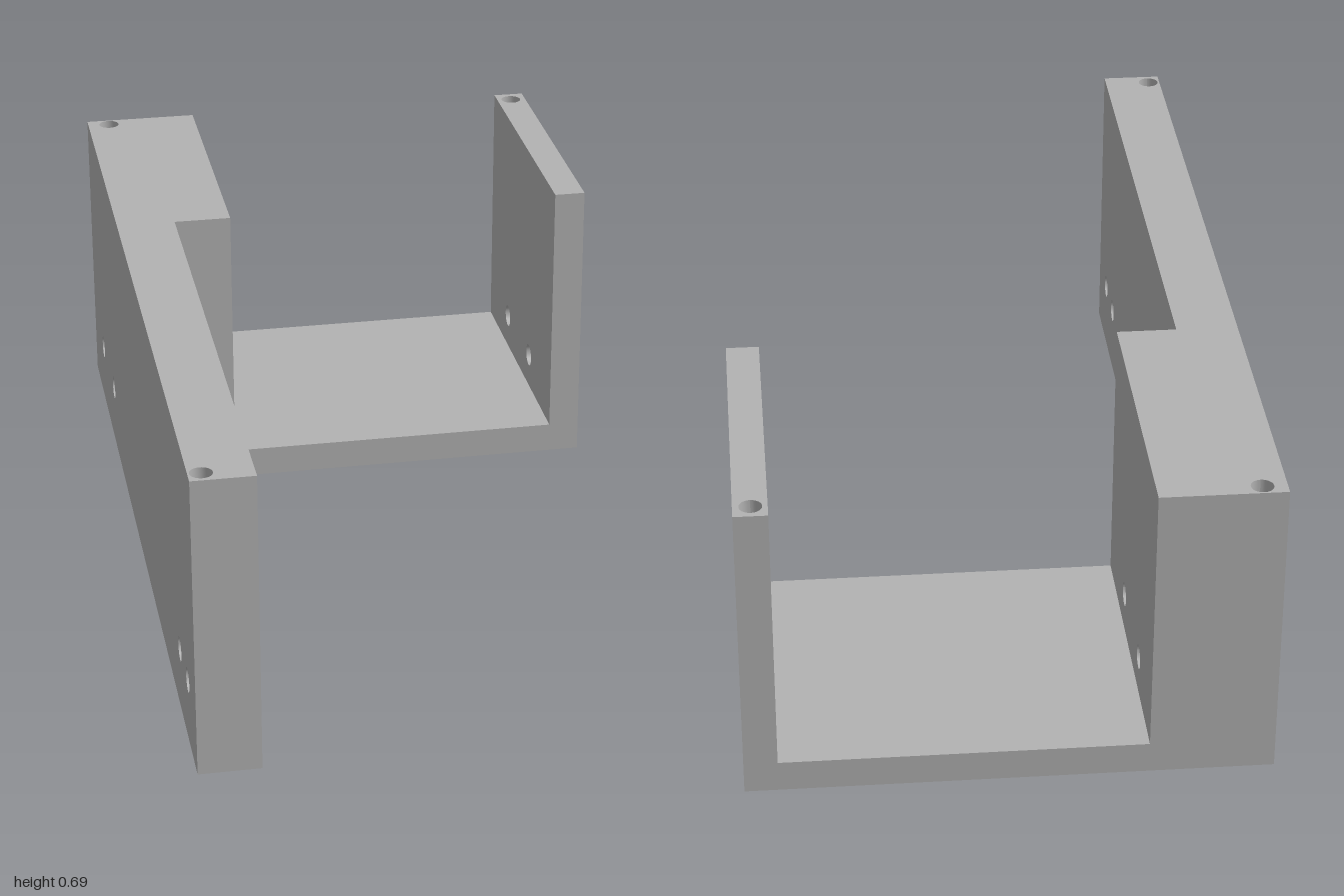
import * as THREE from 'three';
import { mergeGeometries } from 'three/addons/utils/BufferGeometryUtils.js';

// Key dimensions
const X0 = -0.563, XA = -0.427, X1 = -0.295, X2 = 0.491, X3 = 0.563;
const Z0 = -1, ZB = -0.315, Z1 = 1;
const H = 0.685, FLOOR = 0.07;
const BOLT_R = 0.027, BOLT_Y = 0.151, BORE_R = 0.024, BORE_DEPTH = 0.2;

const ARM_BOLTS = [0.87, 0.74].map((z) => [BOLT_Y, z]);
const CRADLE_BOLTS = [-0.553, -0.795].map((z) => [BOLT_Y, z]);
const BLOCK_BORES = [[-0.973, -0.511], [0.967, -0.535]]; // z, x
const WALL_BORES = [[-0.963, 0.526]];

const rect = (u0, v0, u1, v1) => [[u0, v0], [u1, v0], [u1, v1], [u0, v1]];

// Reverse the facing of a geometry
function flip(geo) {
  const index = geo.index.array;
  for (let i = 0; i < index.length; i += 3) {
    [index[i], index[i + 1]] = [index[i + 1], index[i]];
  }
  geo.computeVertexNormals();
  return geo;
}

// Flat face across an axis; outline runs in the next two axes (x: y,z  y: z,x  z: x,y)
function face(axis, sign, offset, outline, holes = [], r = BOLT_R) {
  const shape = new THREE.Shape(outline.map(([u, v]) => new THREE.Vector2(u, v)));
  for (const [u, v] of holes) {
    shape.holes.push(new THREE.Path().absarc(u, v, r, 0, Math.PI * 2, true));
  }
  const geo = new THREE.ShapeGeometry(shape, 16);
  const pos = geo.attributes.position;
  const a = 'xyz'.indexOf(axis);
  for (let i = 0; i < pos.count; i++) {
    const u = pos.getX(i), v = pos.getY(i);
    pos.setComponent(i, a, offset);
    pos.setComponent(i, (a + 1) % 3, u);
    pos.setComponent(i, (a + 2) % 3, v);
  }
  geo.computeVertexNormals();
  return sign < 0 ? flip(geo) : geo;
}

// Inner wall of a bolt hole running along x
function boltHole(xa, xb, [y, z]) {
  const geo = new THREE.CylinderGeometry(BOLT_R, BOLT_R, xb - xa, 32, 1, true);
  geo.rotateZ(Math.PI / 2).translate((xa + xb) / 2, y, z);
  return flip(geo);
}

// Blind bore sunk into a top edge
function bore([z, x]) {
  const wall = new THREE.CylinderGeometry(BORE_R, BORE_R, BORE_DEPTH, 32, 1, true);
  wall.translate(x, H - BORE_DEPTH / 2, z);
  const end = new THREE.CircleGeometry(BORE_R, 32);
  end.rotateX(-Math.PI / 2).translate(x, H - BORE_DEPTH, z);
  return [flip(wall), end];
}

export function createModel() {
  const group = new THREE.Group();
  group.name = 'mountingBracket';
  const grey = new THREE.MeshStandardMaterial({ color: 0xb2b2b2 });
  grey.name = 'plain grey';

  const add = (name, parts) => {
    const mesh = new THREE.Mesh(mergeGeometries(parts), grey);
    mesh.name = name;
    group.add(mesh);
  };

  // U-shaped cradle ends
  const cradle = (x) => [[x, 0], [X3, 0], [X3, H], [X2, H], [X2, FLOOR], [X1, FLOOR], [X1, H], [x, H]];
  add('cradleEnds', [
    face('z', -1, Z0, cradle(X0)),
    face('z', 1, ZB, cradle(XA)),
  ]);

  // Long arm and the thick block behind it
  add('armAndBlock', [
    face('x', -1, X0, rect(0, Z0, H, Z1), [...ARM_BOLTS, ...CRADLE_BOLTS]),
    face('x', 1, XA, rect(0, ZB, H, Z1), ARM_BOLTS),
    face('z', 1, Z1, rect(X0, 0, XA, H)),
    face('x', 1, X1, rect(FLOOR, Z0, H, ZB), CRADLE_BOLTS),
    face('y', 1, H, [[Z0, X0], [Z1, X0], [Z1, XA], [ZB, XA], [ZB, X1], [Z0, X1]], BLOCK_BORES, BORE_R),
  ]);

  // Thin wall on the other side
  add('thinWall', [
    face('x', -1, X2, rect(FLOOR, Z0, H, ZB), CRADLE_BOLTS),
    face('x', 1, X3, rect(0, Z0, H, ZB), CRADLE_BOLTS),
    face('y', 1, H, rect(Z0, X2, ZB, X3), WALL_BORES, BORE_R),
  ]);

  // Cradle floor and the L-shaped underside
  add('floorAndUnderside', [
    face('y', 1, FLOOR, rect(Z0, X1, ZB, X2)),
    face('y', -1, 0, [[Z0, X0], [Z1, X0], [Z1, XA], [ZB, XA], [ZB, X3], [Z0, X3]]),
  ]);

  // Hole linings
  add('boltHoles', [
    ...ARM_BOLTS.map((p) => boltHole(X0, XA, p)),
    ...CRADLE_BOLTS.flatMap((p) => [boltHole(X0, X1, p), boltHole(X2, X3, p)]),
  ]);
  add('topBores', [...BLOCK_BORES, ...WALL_BORES].flatMap(bore));

  return group;
}
